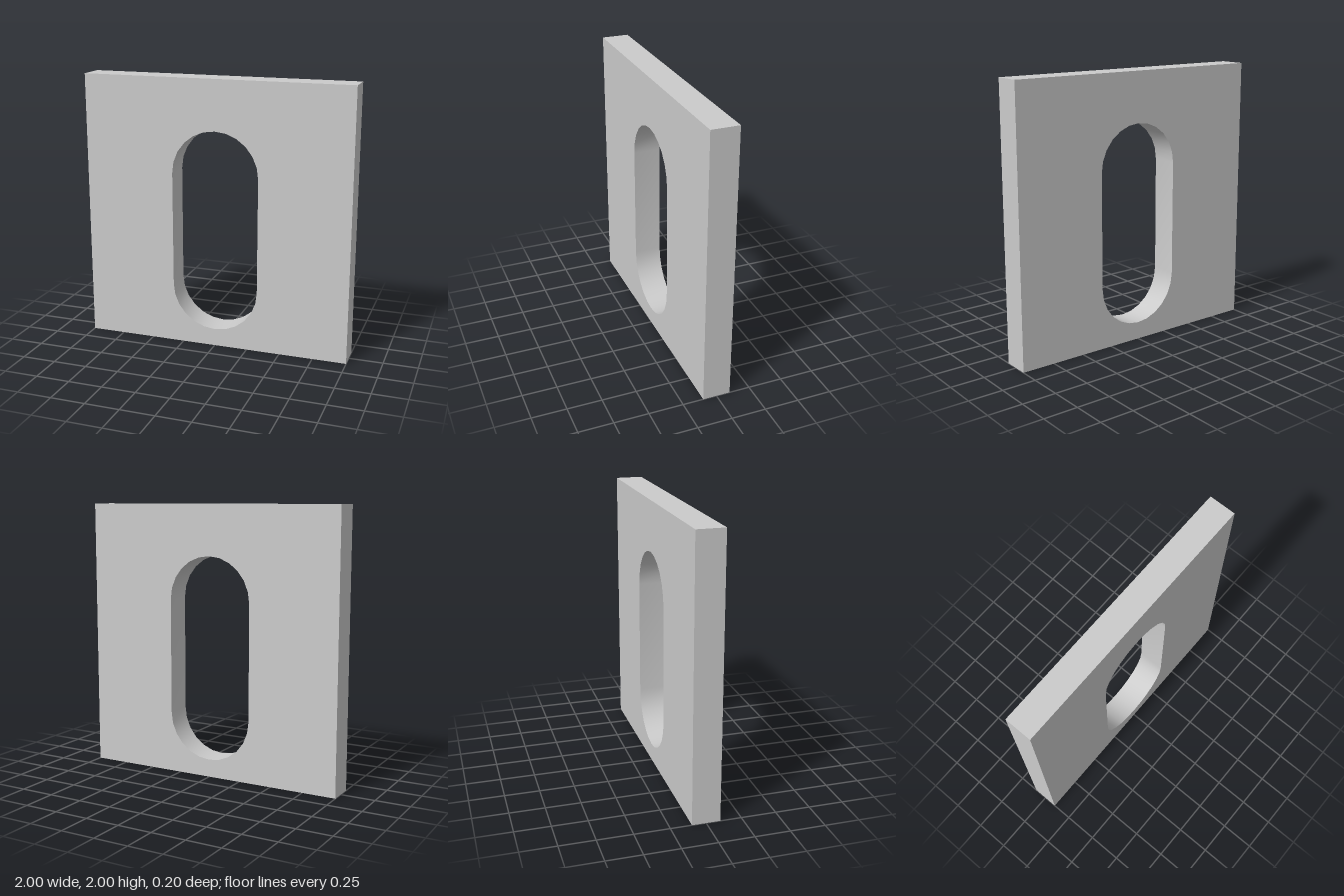
import * as THREE from 'three';
import { toCreasedNormals } from 'three/addons/utils/BufferGeometryUtils.js';

const SIZE = 2, DEPTH = 0.2;
const SLOT_RADIUS = 0.325, SLOT_BOTTOM = 0.13, SLOT_TOP = 1.63;

export function createModel() {
  const group = new THREE.Group();
  group.name = 'slottedPlate';

  // Square outline standing on the ground
  const h = SIZE / 2;
  const outline = new THREE.Shape([
    new THREE.Vector2(-h, 0), new THREE.Vector2(h, 0),
    new THREE.Vector2(h, SIZE), new THREE.Vector2(-h, SIZE),
  ]);

  // Upright slot with round ends, set below the middle
  const slot = new THREE.Path();
  slot.absarc(0, SLOT_TOP - SLOT_RADIUS, SLOT_RADIUS, 0, Math.PI, false);
  slot.absarc(0, SLOT_BOTTOM + SLOT_RADIUS, SLOT_RADIUS, Math.PI, Math.PI * 2, false);
  slot.closePath();
  outline.holes.push(slot);

  // Plate with sharp edges and a smooth slot wall
  const geometry = new THREE.ExtrudeGeometry(outline, {
    depth: DEPTH, bevelEnabled: false, curveSegments: 6,
  }).translate(0, 0, -DEPTH / 2);
  const plate = new THREE.Mesh(
    toCreasedNormals(geometry, Math.PI / 6),
    new THREE.MeshStandardMaterial({ color: 0xcccccc }),
  );
  plate.name = 'plate';
  group.add(plate);

  return group;
}
